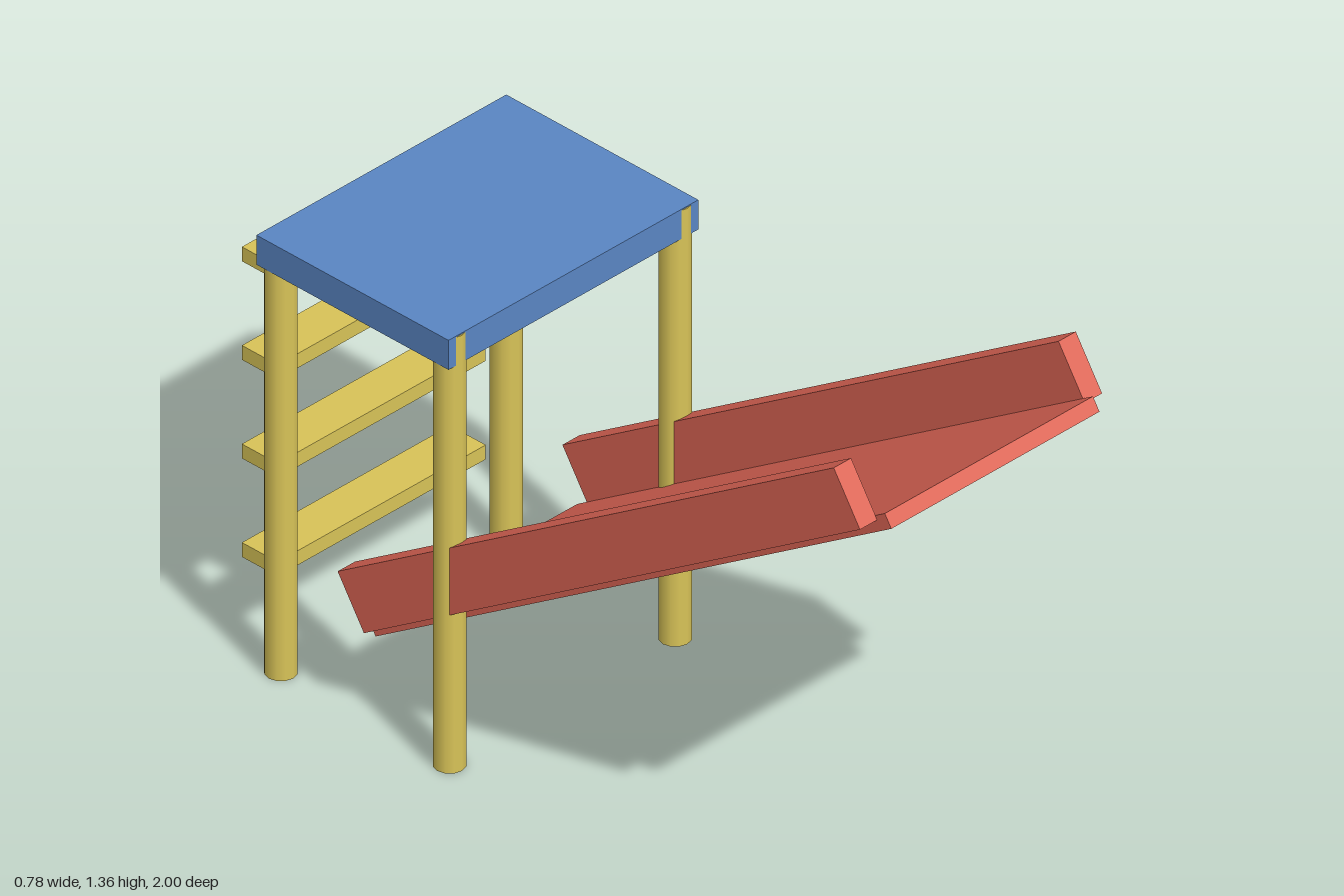
import * as THREE from 'three';

export function createModel() {
  const model = new THREE.Group();
  model.name = 'playgroundSlide';

  const material = (name, color) => {
    const m = new THREE.MeshStandardMaterial({ color });
    m.name = name;
    return m;
  };
  const wood = material('yellowWood', 0xd9c458);
  const blue = material('bluePlatform', 0x5a86c4);
  const red = material('redSlide', 0xe06656);

  const add = (parent, name, geometry, mat, x, y, z) => {
    const mesh = new THREE.Mesh(geometry, mat);
    mesh.name = name;
    mesh.position.set(x, y, z);
    parent.add(mesh);
    return mesh;
  };

  // Platform deck
  add(model, 'platform', new THREE.BoxGeometry(0.78, 0.078, 0.592), blue, 0, 1.113, -0.595);

  // Four posts, ending just under the top of the deck
  const postHeight = 1.149;
  const postGeometry = new THREE.CylinderGeometry(0.038, 0.038, postHeight, 12);
  for (const [side, x] of [['left', 0.352], ['right', -0.352]]) {
    add(model, side + 'FrontPost', postGeometry, wood, x, postHeight / 2, -0.333);
    add(model, side + 'BackPost', postGeometry, wood, x, postHeight / 2, -0.853);
  }

  // Ladder steps behind the back posts
  const stepGeometry = new THREE.BoxGeometry(0.65, 0.038, 0.11);
  for (let i = 0; i < 4; i++) {
    add(model, 'ladderStep' + (i + 1), stepGeometry, wood, 0, 0.24 + i * 0.26, -0.945);
  }

  // Sloping slide: bed with a rail along each side
  const slide = new THREE.Group();
  slide.name = 'slide';
  slide.position.set(0, 0.735, 0.197);
  slide.rotation.x = -Math.atan2(1.03, 1.59);
  model.add(slide);
  add(slide, 'slideBed', new THREE.BoxGeometry(0.65, 0.037, 1.894), red, 0, 0, 0);
  const railGeometry = new THREE.BoxGeometry(0.054, 0.149, 1.822);
  add(slide, 'leftRail', railGeometry, red, 0.351, 0.082, 0);
  add(slide, 'rightRail', railGeometry, red, -0.351, 0.082, 0);

  return model;
}
